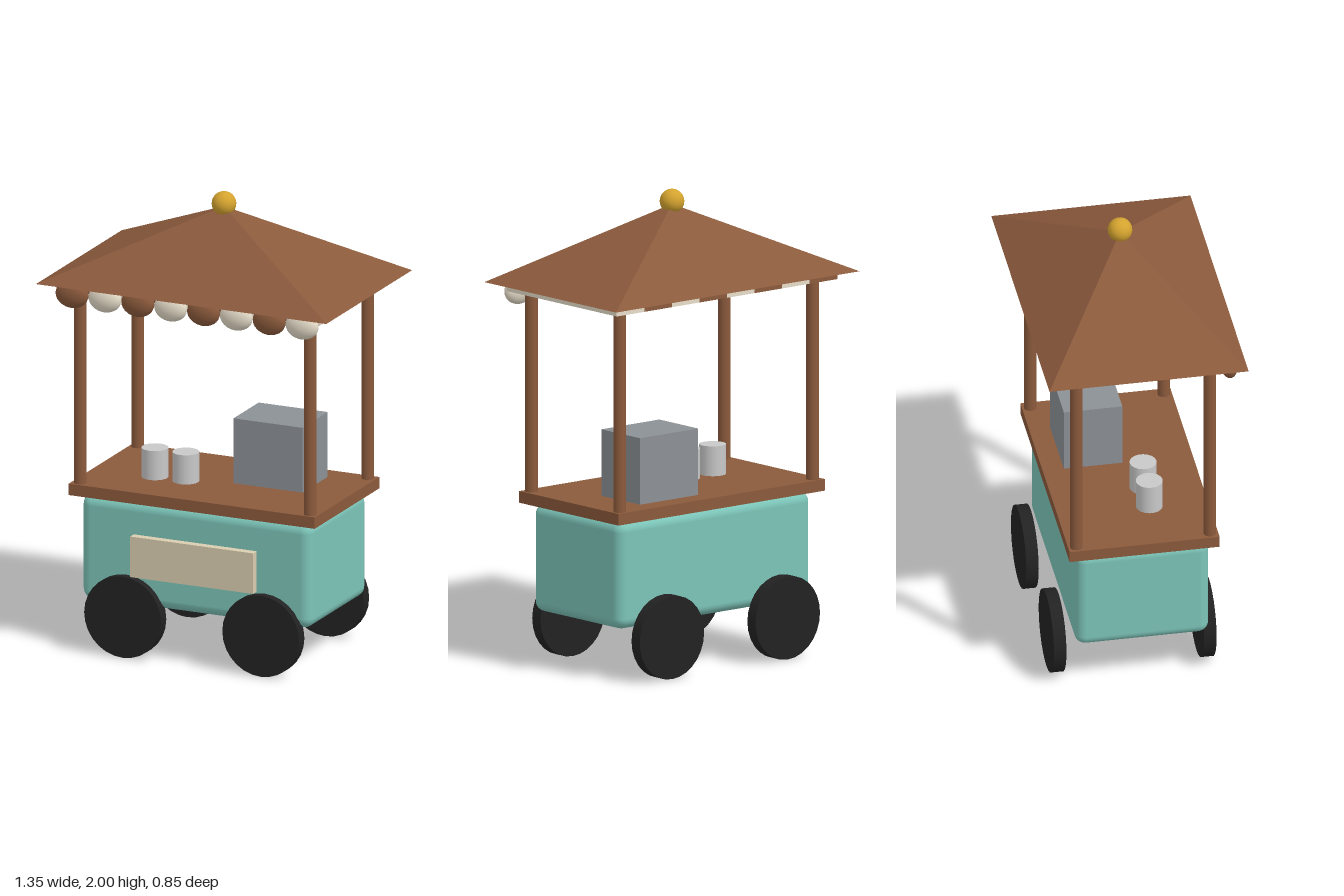
import * as THREE from 'three';
import { RoundedBoxGeometry } from 'three/addons/geometries/RoundedBoxGeometry.js';

function material(name, color) {
  const m = new THREE.MeshStandardMaterial({ color });
  m.name = name;
  return m;
}

export function createModel() {
  const teal = material('teal paint', 0x7cc4b8);
  const wood = material('brown wood', 0x8b5a3c);
  const cream = material('cream cloth', 0xf0e6d2);
  const tan = material('tan board', 0xd9ccb0);
  const rubber = material('black rubber', 0x222222);
  const steel = material('grey steel', 0x8c9196);
  const tin = material('light tin', 0xc8c8c8);
  const gold = material('gold', 0xd4a32f);

  const cart = new THREE.Group();
  cart.name = 'foodCart';
  const add = (name, geometry, mat, x, y, z) => {
    const mesh = new THREE.Mesh(geometry, mat);
    mesh.name = name;
    mesh.position.set(x, y, z);
    cart.add(mesh);
    return mesh;
  };

  // Body, counter and front board
  add('body', new RoundedBoxGeometry(1.066, 0.46, 0.57, 4, 0.045), teal, 0, 0.45, 0);
  add('counter', new THREE.BoxGeometry(1.14, 0.05, 0.64), wood, 0, 0.707, 0);
  add('frontBoard', new THREE.BoxGeometry(0.57, 0.178, 0.036), tan, 0, 0.448, 0.302);

  // Wheels
  const wheel = new THREE.CylinderGeometry(0.178, 0.178, 0.053, 28).rotateX(Math.PI / 2);
  for (const x of [-0.32, 0.32]) {
    add('frontWheel', wheel, rubber, x, 0.178, 0.294);
    add('backWheel', wheel, rubber, x, 0.178, -0.347);
  }

  // Corner posts
  const post = new THREE.CylinderGeometry(0.027, 0.027, 0.88, 16);
  for (const x of [-0.533, 0.533])
    for (const z of [-0.285, 0.285]) add('post', post, wood, x, 1.165, z);

  // Striped awning with a scalloped front edge
  const pitch = 0.1523;
  const stripe = new THREE.BoxGeometry(pitch, 0.036, 0.71);
  const scallop = new THREE.SphereGeometry(1, 20, 14).scale(0.075, 0.06, 0.037);
  for (let i = 0; i < 8; i++) {
    const x = (i - 3.5) * pitch;
    const mat = i % 2 ? cream : wood;
    add('awningStripe', stripe, mat, x, 1.606, 0);
    add('scallop', scallop, mat, x, 1.582, 0.365);
  }

  // Pyramid roof and finial
  const roof = new THREE.ConeGeometry(Math.SQRT2, 0.312, 4)
    .rotateY(Math.PI / 4)
    .scale(0.673, 1, 0.425)
    .toNonIndexed();
  roof.computeVertexNormals();
  add('roof', roof, wood, 0, 1.624 + 0.156, 0);
  add('finial', new THREE.SphereGeometry(0.052, 24, 16), gold, 0, 1.948, 0);

  // Goods on the counter
  add('stove', new THREE.BoxGeometry(0.32, 0.285, 0.25), steel, 0.213, 0.874, -0.105);
  const can = new THREE.CylinderGeometry(0.057, 0.057, 0.128, 18);
  for (const x of [-0.286, -0.143]) add('can', can, tin, x, 0.796, 0.072);

  return cart;
}
